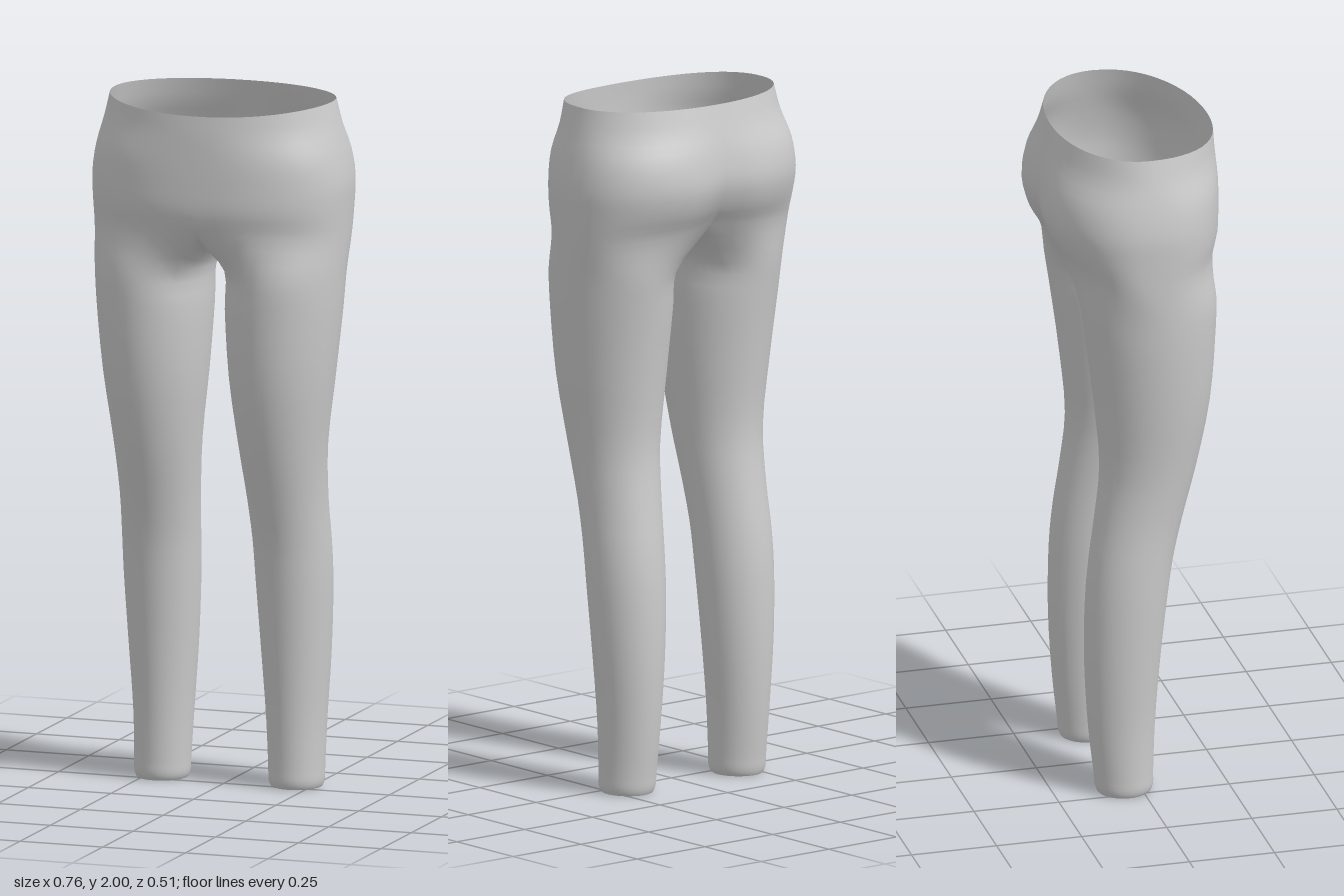
import * as THREE from 'three';
import { mergeVertices } from 'three/addons/utils/BufferGeometryUtils.js';

const OUTER = 26;   // segments round the outside of a leg, front seam to back seam
const INNER = 12;   // segments round the inside of a leg, under the crotch
const STEPS = 3;    // subdivisions between two cross-sections
const ALPHA = 0.72; // angle at which the leg ring splits into outside and inside

// Leg cross-sections: y, inner x, outer x, back z, front z
const LEG = [
  [0.045, 0.138, 0.270, -0.118, 0.022],
  [0.004, 0.132, 0.275, -0.123, 0.028],
  [0.020, 0.124, 0.282, -0.130, 0.036],
  [0.060, 0.122, 0.283, -0.134, 0.037],
  [0.20, 0.115, 0.287, -0.149, 0.042],
  [0.40, 0.101, 0.300, -0.160, 0.057],
  [0.60, 0.090, 0.309, -0.157, 0.079],
  [0.72, 0.086, 0.309, -0.146, 0.096],
  [0.84, 0.079, 0.307, -0.129, 0.124],
  [1.00, 0.064, 0.315, -0.112, 0.166],
  [1.20, 0.041, 0.340, -0.129, 0.205],
  [1.40, 0.028, 0.360, -0.155, 0.220],
  [1.51, 0.025, 0.367, -0.171, 0.222],
];

// Pelvis cross-sections: y, half width, back z, front z, depth of the back cleft
const PELVIS = [
  [1.645, 0.373, -0.212, 0.238, 0.035],
  [1.70, 0.377, -0.247, 0.253, 0.030],
  [1.77, 0.378, -0.265, 0.256, 0.020],
  [1.85, 0.366, -0.255, 0.256, 0.012],
  [1.93, 0.347, -0.231, 0.255, 0.004],
  [2.00, 0.330, -0.210, 0.252, 0.000],
];

function legPoint([y, xi, xo, zb, zf], a) {
  return new THREE.Vector3(
    (xi + xo) / 2 + (xo - xi) / 2 * Math.sin(a), y,
    (zb + zf) / 2 + (zf - zb) / 2 * Math.cos(a));
}

// Half of a rounded oval, t = 0 at the front centre and PI at the back centre
function pelvisPoint(row, t) {
  const [y, w, zb, zf, cleft] = PELVIS[row];
  const e = row < 4 ? 0.83 : 0.95;
  const s = Math.max(0, Math.sin(t)), c = Math.cos(t);
  const x = t === 0 || t === Math.PI ? 0 : w * Math.pow(s, e);
  let z = (c > 0 ? zf : zb) * Math.pow(Math.abs(c), e);
  if (c < 0) z += cleft * Math.exp(-((x / 0.07) ** 2));
  // thigh joint sits lower at the side, waistband dips at the front
  let dy = 0;
  if (row === 0) dy = -0.03 * s;
  if (row === PELVIS.length - 1) dy = -0.02 * Math.max(0, c) ** 2;
  return new THREE.Vector3(x, y + dy, z);
}

// Crotch seam from back to front, on the centre line
const seam = new THREE.CatmullRomCurve3([
  pelvisPoint(0, Math.PI),
  new THREE.Vector3(0, 1.60, -0.125),
  new THREE.Vector3(0, 1.568, -0.05),
  new THREE.Vector3(0, 1.56, 0.03),
  new THREE.Vector3(0, 1.568, 0.11),
  new THREE.Vector3(0, 1.60, 0.19),
  pelvisPoint(0, 0),
]);

// Smooth column of points through the cross-sections
function column(points) {
  return new THREE.CatmullRomCurve3(points).getPoints((points.length - 1) * STEPS);
}

function createLeggings() {
  const columns = [];
  // Outside columns run from ankle to waist
  for (let j = 0; j <= OUTER; j++) {
    const u = j / OUTER;
    const a = -ALPHA + u * (Math.PI + 2 * ALPHA);
    const pts = LEG.map((r) => legPoint(r, a));
    PELVIS.forEach((_, r) => pts.push(pelvisPoint(r, u * Math.PI)));
    columns.push(column(pts));
  }
  // Inside columns run from ankle to crotch seam
  for (let k = 1; k < INNER; k++) {
    const u = k / INNER;
    const a = Math.PI + ALPHA + u * (Math.PI - 2 * ALPHA);
    const pts = LEG.map((r) => legPoint(r, a));
    pts.push(seam.getPointAt(u));
    columns.push(column(pts));
  }

  // Skin both mirrored halves
  const pos = [];
  for (const side of [1, -1]) {
    const tri = (a, b, c) => {
      for (const p of side > 0 ? [a, b, c] : [a, c, b]) pos.push(p.x * side + 0, p.y, p.z);
    };
    columns.forEach((A, j) => {
      const B = columns[(j + 1) % columns.length];
      const rows = j < OUTER ? A.length : LEG.length * STEPS + 1;
      for (let i = 0; i < rows - 1; i++) {
        tri(A[i], B[i], B[i + 1]);
        tri(A[i], B[i + 1], A[i + 1]);
      }
    });
  }
  const raw = new THREE.BufferGeometry();
  raw.setAttribute('position', new THREE.Float32BufferAttribute(pos, 3));
  const geo = mergeVertices(raw, 1e-5);
  geo.computeVertexNormals();
  return geo;
}

export function createModel() {
  const group = new THREE.Group();
  group.name = 'leggings';
  const material = new THREE.MeshStandardMaterial({ color: 0xcccccc, side: THREE.DoubleSide });
  const mesh = new THREE.Mesh(createLeggings(), material);
  mesh.name = 'leggingsFabric';
  group.add(mesh);
  return group;
}
